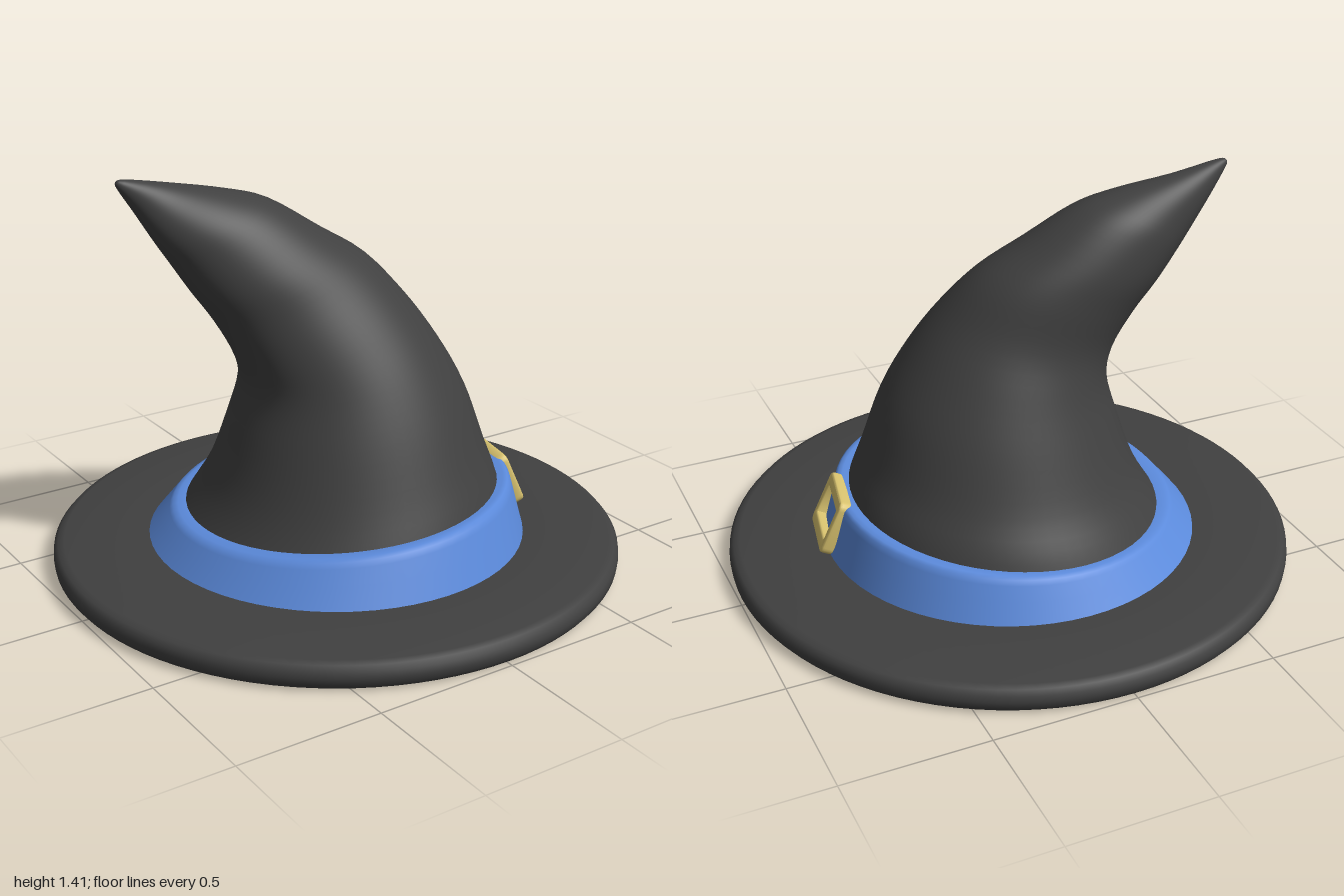
import * as THREE from 'three';
import { toCreasedNormals } from 'three/addons/utils/BufferGeometryUtils.js';

const SIDES = 64;

// Skin closed rings together; point(i, angle) returns a Vector3 on ring i.
function loft(ringCount, point) {
  const pos = [], index = [];
  for (let i = 0; i < ringCount; i++) {
    for (let j = 0; j < SIDES; j++) {
      const p = point(i, (j / SIDES) * Math.PI * 2);
      pos.push(p.x, p.y, p.z);
      if (i === ringCount - 1) continue;
      const a = i * SIDES + j, b = i * SIDES + ((j + 1) % SIDES);
      index.push(a, a + SIDES, b, b, a + SIDES, b + SIDES);
    }
  }
  const g = new THREE.BufferGeometry();
  g.setAttribute('position', new THREE.Float32BufferAttribute(pos, 3));
  g.setIndex(index);
  g.computeVertexNormals();
  return g;
}

function roundedRect(path, x0, y0, x1, y1, r) {
  path.moveTo(x0 + r, y0);
  path.lineTo(x1 - r, y0);
  path.quadraticCurveTo(x1, y0, x1, y0 + r);
  path.lineTo(x1, y1 - r);
  path.quadraticCurveTo(x1, y1, x1 - r, y1);
  path.lineTo(x0 + r, y1);
  path.quadraticCurveTo(x0, y1, x0, y1 - r);
  path.lineTo(x0, y0 + r);
  path.quadraticCurveTo(x0, y0, x0 + r, y0);
  return path;
}

export function createModel() {
  const hat = new THREE.Group();
  hat.name = 'hat';
  const felt = new THREE.MeshStandardMaterial({ color: 0x404040 });
  const blue = new THREE.MeshStandardMaterial({ color: 0x5b8adb });
  const gold = new THREE.MeshStandardMaterial({ color: 0xd9c36f });
  const add = (name, geometry, material) => {
    const mesh = new THREE.Mesh(geometry, material);
    mesh.name = name;
    hat.add(mesh);
    return mesh;
  };

  // Brim: flat disc with a rounded rim
  const rim = [[0, 0.005], [0.96, 0.005], [0.983, 0.012], [0.997, 0.03], [1, 0.052],
    [0.997, 0.075], [0.983, 0.091], [0.96, 0.097], [0.7, 0.1], [0, 0.1]];
  const brim = new THREE.LatheGeometry(rim.map(([r, y]) => new THREE.Vector2(r, y)), 96);
  add('brim', toCreasedNormals(brim, 0.7), felt);

  // Crown: tilted elliptical rings, each [left x, left y, right x, right y, front z, back z]
  const rings = [
    [-0.61, 0.09, 0.62, 0.09, 0.62, -0.62],
    [-0.52, 0.21, 0.565, 0.29, 0.565, -0.55],
    [-0.45, 0.34, 0.51, 0.43, 0.51, -0.47],
    [-0.39, 0.52, 0.44, 0.63, 0.435, -0.39],
    [-0.35, 0.67, 0.345, 0.80, 0.36, -0.325],
    [-0.37, 0.78, 0.24, 0.95, 0.285, -0.282],
    [-0.43, 0.91, 0.12, 1.09, 0.20, -0.285],
    [-0.50, 1.02, -0.03, 1.19, 0.135, -0.29],
    [-0.56, 1.12, -0.20, 1.30, 0.06, -0.275],
    [-0.61, 1.20, -0.34, 1.345, 0.0, -0.25],
    [-0.67, 1.305, -0.53, 1.385, -0.09, -0.215],
    [-0.725, 1.39, -0.70, 1.418, -0.14, -0.175],
    [-0.73, 1.41, -0.73, 1.41, -0.16, -0.16],
  ];
  const curve = (f) => new THREE.CatmullRomCurve3(rings.map(f), false, 'catmullrom', 0.5);
  const left = curve((r) => new THREE.Vector3(r[0], r[1], 0));
  const right = curve((r) => new THREE.Vector3(r[2], r[3], 0));
  const depth = curve((r) => new THREE.Vector3(r[4], r[5], 0));
  const steps = (rings.length - 1) * 4;
  add('crown', loft(steps + 1, (i, a) => {
    const t = i / steps, d = depth.getPoint(t);
    const p = left.getPoint(t).lerp(right.getPoint(t), (1 + Math.cos(a)) / 2);
    p.z = (d.x + d.y) / 2 + ((d.x - d.y) / 2) * Math.sin(a);
    return p;
  }), felt);

  // Band: sloping ribbon whose top edge dips to the right and back.
  // Profile is [inset towards the top edge, height fraction]
  const profile = [[0, 0], [0.1, 0.1], [0.5, 0.5], [0.82, 0.82], [0.95, 0.94], [1.15, 0.99],
    [1.45, 1], [2.2, 0.97]];
  add('band', loft(profile.length, (i, a) => {
    const x = Math.cos(a), z = Math.sin(a), [inset, h] = profile[i];
    const top = 0.25 + 0.042 * x + 0.022 * z;
    const r = 0.665 - inset * (0.072 - 0.02 * x - 0.004 * z);
    return new THREE.Vector3(r * x, 0.098 + (top - 0.098) * h, r * z);
  }), blue);

  // Buckle: bevelled frame leaning against the band
  const frame = roundedRect(new THREE.Shape(), -0.115, -0.095, 0.115, 0.095, 0.02);
  frame.holes.push(roundedRect(new THREE.Path(), -0.1, -0.064, 0.1, 0.066, 0.012));
  const buckleGeometry = new THREE.ExtrudeGeometry(frame, {
    depth: 0.026, bevelThickness: 0.009, bevelSize: 0.009, bevelSegments: 3, curveSegments: 5,
  });
  buckleGeometry.translate(0, 0, -0.013);
  const buckle = add('buckle', toCreasedNormals(buckleGeometry, 0.7), gold);
  buckle.rotation.set(-0.42, Math.PI / 2 - 0.2, 0, 'YXZ');
  buckle.position.set(0.622, 0.207, 0.128);

  return hat;
}
